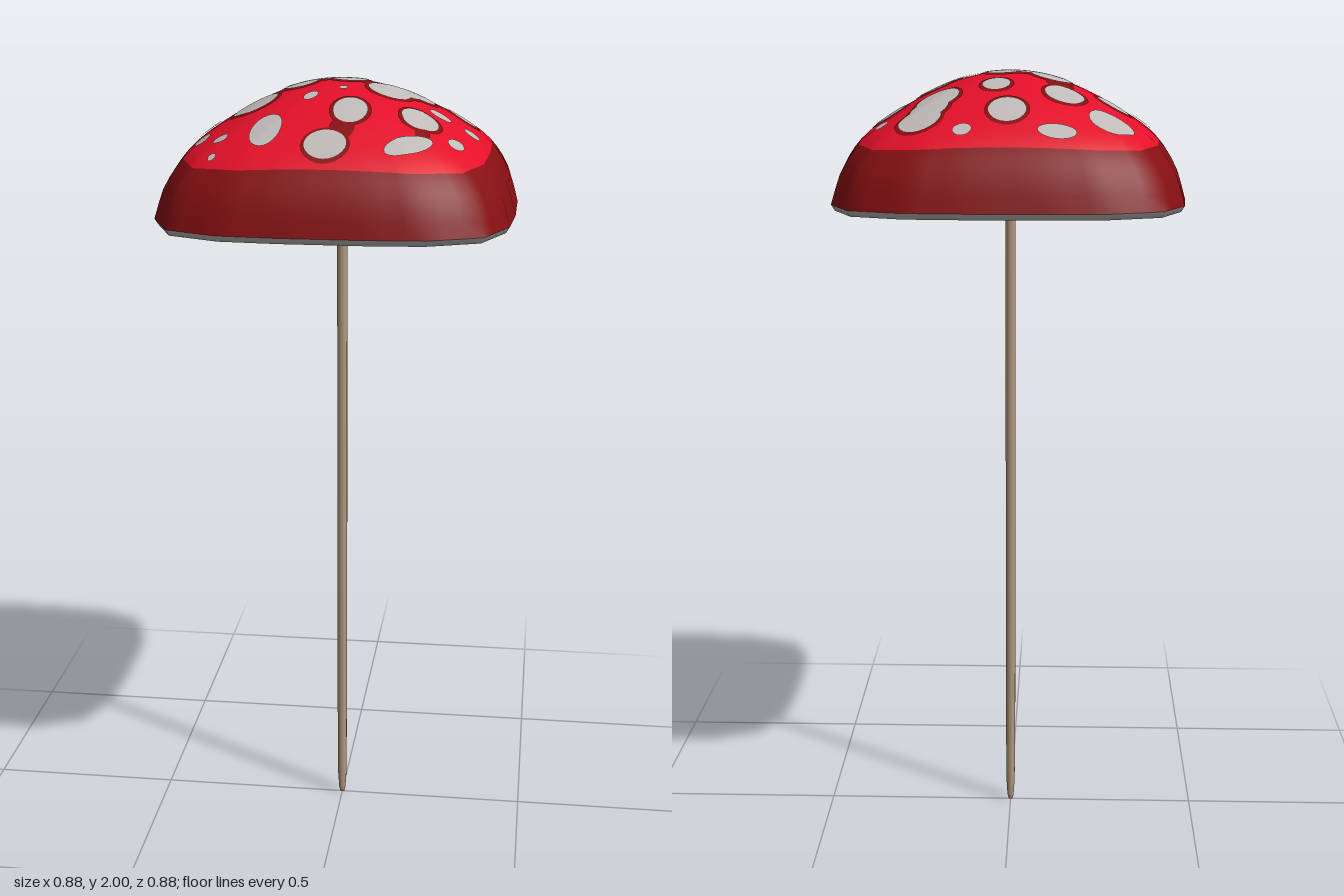
import * as THREE from 'three';

const material = (name, color) => {
  const m = new THREE.MeshStandardMaterial({ color });
  m.name = name;
  return m;
};

// Rounded-square outline of the cap: one side, turned four times
const outline = [];
for (let q = 0; q < 4; q++) {
  for (const [x, z] of [[0.44, -0.1], [0.44, 0.1], [0.43, 0.245], [0.375, 0.375], [0.245, 0.43]]) {
    outline.push([[x, z], [-z, x], [-x, -z], [z, -x]][q]);
  }
}

// How far out a point lies: 0 at the centre, 1 on the outline
function outlineFraction(x, z) {
  let s = 0;
  outline.forEach((a, i) => {
    const b = outline[(i + 1) % outline.length];
    const nx = b[1] - a[1], nz = a[0] - b[0];
    s = Math.max(s, (nx * x + nz * z) / (nx * a[0] + nz * a[1]));
  });
  return s;
}

// Height of the dome along its radius
const profile = [[0, 2], [0.23, 1.987], [0.45, 1.95], [0.68, 1.893], [0.845, 1.837], [0.95, 1.765], [1, 1.69]];
function profileHeight(s) {
  if (s >= 1) return 1.69;
  let i = 0;
  while (s > profile[i + 1][0]) i++;
  const slope = (k) => {
    if (k === 0) return 0;
    const a = profile[k - 1], b = profile[Math.min(k + 1, profile.length - 1)];
    return (b[1] - a[1]) / (b[0] - a[0]);
  };
  const [s0, y0] = profile[i], [s1, y1] = profile[i + 1];
  const w = s1 - s0, t = (s - s0) / w, t2 = t * t, t3 = t2 * t;
  return (2 * t3 - 3 * t2 + 1) * y0 + (t3 - 2 * t2 + t) * w * slope(i)
    + (3 * t2 - 2 * t3) * y1 + (t3 - t2) * w * slope(i + 1);
}

// The crown is round and becomes square towards the rim
function domeHeight(x, z) {
  const r = Math.hypot(x, z);
  if (r < 1e-6) return 2;
  const f = outlineFraction(x, z);
  return profileHeight(r / THREE.MathUtils.lerp(0.45, r / f, Math.min(f, 1)));
}

// Closed rings joined into a surface; the material changes at each split ring
function ringSurface(rings, splits = []) {
  const n = rings[0].length, index = [], geo = new THREE.BufferGeometry();
  let start = 0, mat = 0;
  for (let r = 0; r < rings.length - 1; r++) {
    if (splits.includes(r)) {
      geo.addGroup(start, index.length - start, mat++);
      start = index.length;
    }
    for (let i = 0; i < n; i++) {
      const a = r * n + i, b = r * n + (i + 1) % n, c = a + n, d = b + n;
      index.push(a, b, c, b, d, c);
    }
  }
  geo.addGroup(start, index.length - start, mat);
  geo.setAttribute('position', new THREE.Float32BufferAttribute(rings.flat(2), 3));
  geo.setIndex(index);
  geo.computeVertexNormals();
  return geo;
}

// A ring of the cap outline, with each edge cut in three
function capRing(s, height) {
  return outline.flatMap((a, i) => {
    const b = outline[(i + 1) % outline.length];
    return [0, 1 / 3, 2 / 3].map((t) => {
      const x = s * (a[0] + (b[0] - a[0]) * t), z = s * (a[1] + (b[1] - a[1]) * t);
      return [x, height ?? domeHeight(x, z), z];
    });
  });
}

// Oval patch lying on the dome
function patch([cx, cz, rx, rz, turn = 0], lift, grow = 0) {
  const rings = [];
  for (let r = 0; r <= 6; r++) {
    const k = Math.max(r / 6, 0.001), ring = [];
    for (let i = 0; i < 24; i++) {
      const a = (i / 24) * Math.PI * 2;
      const u = Math.cos(a) * (rx + grow) * k, v = Math.sin(a) * (rz + grow) * k;
      const x = cx + u * Math.cos(turn) - v * Math.sin(turn);
      const z = cz + u * Math.sin(turn) + v * Math.cos(turn);
      ring.push([x, domeHeight(x, z) + lift, z]);
    }
    rings.push(ring);
  }
  return ringSurface(rings);
}

// Spots: centre x, centre z, radius x, radius z, turn
const plainSpots = [
  [-0.25, -0.25, 0.055, 0.05], [-0.12, -0.328, 0.047, 0.023], [0.105, -0.325, 0.023, 0.019],
  [0.308, -0.195, 0.016, 0.018], [-0.333, 0.028, 0.034, 0.045], [-0.06, 0.135, 0.016, 0.022, 0.5],
  [0.014, 0.092, 0.011, 0.011], [0.25, 0.073, 0.027, 0.026], [0.327, 0.06, 0.02, 0.028],
  [0.297, 0.215, 0.019, 0.027, 0.2], [-0.32, 0.178, 0.02, 0.03], [-0.262, 0.245, 0.018, 0.02],
  [-0.272, 0.31, 0.01, 0.01], [-0.152, 0.255, 0.038, 0.057, 0.1], [0.19, 0.29, 0.064, 0.028, -0.6],
];
const edgedSpots = [
  [0, -0.26, 0.046, 0.045], [0.21, -0.26, 0.052, 0.05], [0.19, -0.215, 0.048, 0.05],
  [0.172, -0.172, 0.053, 0.051], [0.295, -0.095, 0.038, 0.038], [-0.137, -0.17, 0.049, 0.047],
  [0.03, -0.145, 0.035, 0.034], [-0.257, -0.087, 0.04, 0.037], [-0.103, -0.04, 0.05, 0.052],
  [-0.098, 0.01, 0.04, 0.052], [-0.04, -0.02, 0.045, 0.03], [0.018, -0.018, 0.047, 0.05],
  [0.185, -0.025, 0.045, 0.047], [0.122, 0.05, 0.052, 0.057], [0.15, 0.01, 0.045, 0.045],
  [-0.203, 0.085, 0.055, 0.057], [0.043, 0.195, 0.042, 0.05], [0.208, 0.17, 0.045, 0.051],
  [-0.003, 0.312, 0.05, 0.041],
];
// Dark links between neighbouring spots
const links = [
  [-0.125, -0.1, 0.035, 0.035], [-0.15, 0.035, 0.035, 0.025], [-0.04, -0.03, 0.055, 0.035],
  [0.03, 0.26, 0.03, 0.035], [0.218, 0.235, 0.018, 0.025], [0.07, 0.01, 0.03, 0.025],
];

export function createModel() {
  const red = material('bright red', 0xe41029);
  const dark = material('dark red', 0x860f12);
  const pale = material('pale grey', 0xbfbbb9);
  const wood = material('tan', 0xb39b80);

  const model = new THREE.Group();
  const add = (parent, name, geo, mat) => {
    const mesh = new THREE.Mesh(geo, mat);
    mesh.name = name;
    parent.add(mesh);
  };
  const cap = new THREE.Group();
  cap.name = 'cap';
  model.add(cap);

  // Red dome with a dark lower band
  const rings = [0.001];
  for (let i = 1; i <= 20; i++) rings.push((0.845 * i) / 20);
  rings.push(0.88, 0.915, 0.95, 0.975, 1);
  add(cap, 'dome', ringSurface(rings.map((s) => capRing(s)), [20]), [red, dark]);

  // Pale lip and hollow underside
  const under = [[1, 1.69], [0.98, 1.675], [0.94, 1.68], [0.8, 1.695], [0.55, 1.717], [0.25, 1.735], [0.001, 1.74]];
  add(cap, 'underside', ringSurface(under.map(([s, y]) => capRing(s, y))), pale);

  // Spots and their dark edges
  const spots = new THREE.Group();
  spots.name = 'spots';
  cap.add(spots);
  for (const s of [...plainSpots, ...edgedSpots]) add(spots, 'spot', patch(s, 0.004), pale);
  for (const s of edgedSpots) add(spots, 'spotEdge', patch(s, 0.002, 0.009), dark);
  for (const s of links) add(spots, 'spotLink', patch(s, 0.002), dark);

  // Thin stem with a tapered foot and a flared top
  const stem = [[0, 0], [0.006, 0.002], [0.009, 0.015], [0.012, 0.06], [0.0135, 0.3], [0.0135, 1.66], [0.016, 1.71], [0.024, 1.745]];
  add(model, 'stem', new THREE.LatheGeometry(stem.map(([x, y]) => new THREE.Vector2(x, y)), 10), wood);

  return model;
}
